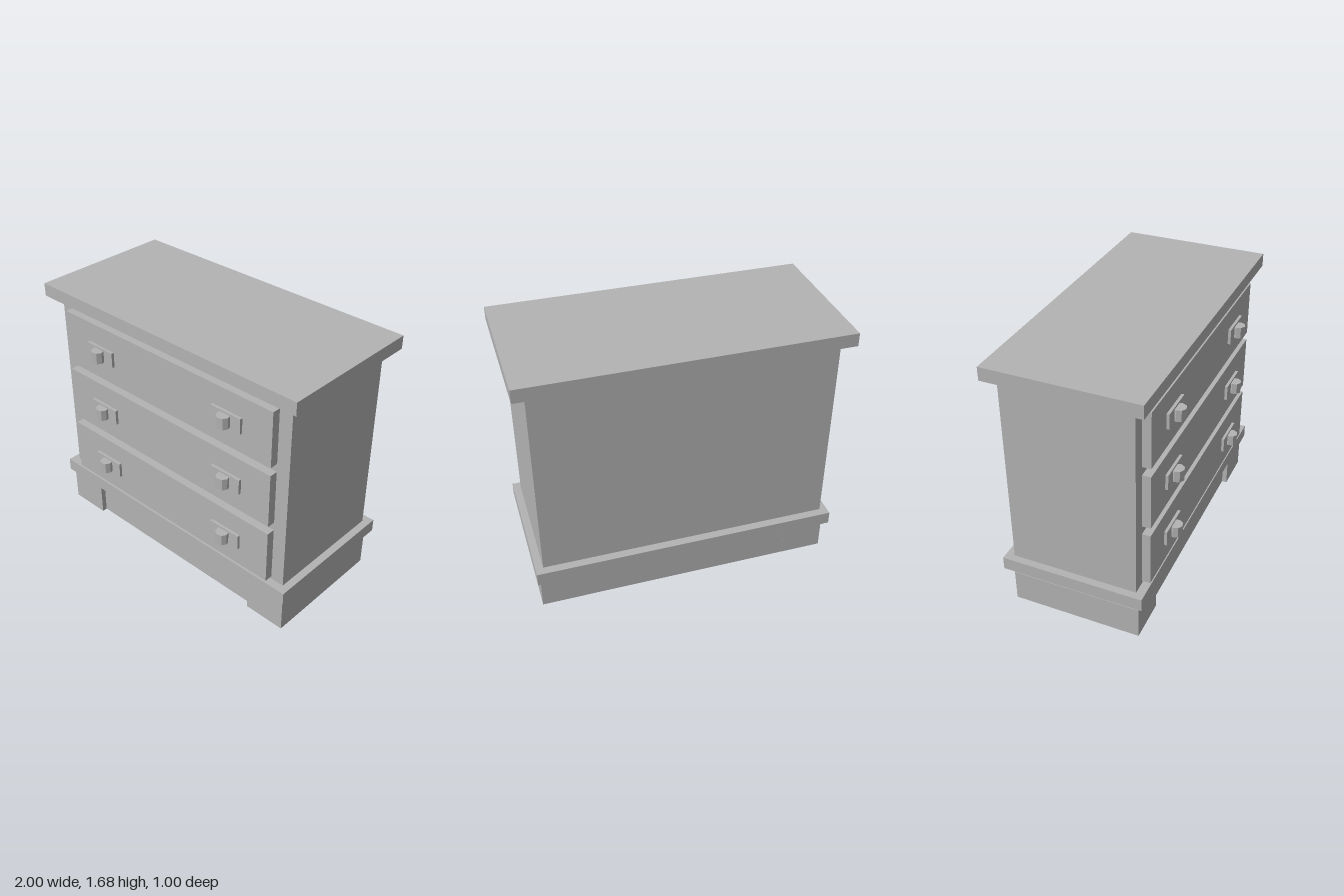
import * as THREE from 'three';

const grey = new THREE.MeshStandardMaterial({ color: 0xb3b3b3, side: THREE.DoubleSide, flatShading: true });
grey.name = 'plain grey';

// Box given by its limits on each axis
function box(name, [x0, x1], [y0, y1], [z0, z1]) {
  const geometry = new THREE.BoxGeometry(x1 - x0, y1 - y0, z1 - z0);
  geometry.translate((x0 + x1) / 2, (y0 + y1) / 2, (z0 + z1) / 2);
  const mesh = new THREE.Mesh(geometry, grey);
  mesh.name = name;
  return mesh;
}

// Thin shell: a box with some faces left out (0 +x, 1 -x, 2 top, 3 bottom, 4 front, 5 back)
function shell(name, x, y, z, omitted) {
  const mesh = box(name, x, y, z);
  const index = Array.from(mesh.geometry.index.array);
  mesh.geometry.setIndex(index.filter((_, i) => !omitted.includes(Math.floor(i / 6))));
  mesh.geometry.clearGroups();
  return mesh;
}

// Drawer front with two backplates and eight-sided pulls
function drawer(y) {
  const group = new THREE.Group();
  group.name = 'drawer';
  group.add(box('drawerFront', [-0.84, 0.834], [y - 0.18, y + 0.18], [0.36, 0.425]));
  for (const x of [-0.521, 0.514]) {
    group.add(box('handlePlate', [x - 0.11, x + 0.11], [y - 0.052, y + 0.048], [0.42, 0.443]));
    const pull = new THREE.Mesh(new THREE.CylinderGeometry(0.042, 0.042, 0.074, 8), grey);
    pull.name = 'handlePull';
    pull.rotation.y = -0.14;
    pull.position.set(x, y - 0.002, 0.458);
    group.add(pull);
  }
  return group;
}

export function createModel() {
  const model = new THREE.Group();
  model.name = 'chestOfDrawers';

  // Top board, carcass and base moulding
  model.add(
    box('topBoard', [-1, 1], [1.592, 1.676], [-0.498, 0.45]),
    box('carcass', [-0.926, 0.922], [0.323, 1.592], [-0.434, 0.372]),
    box('baseMoulding', [-0.973, 0.97], [0.238, 0.323], [-0.488, 0.425]),
  );

  // Hollow plinth, open above and below
  model.add(shell('plinth', [-0.915, 0.911], [0, 0.238], [-0.427, 0.365], [2, 3]));

  // Hollow feet running from front to back, open below
  model.add(
    shell('rightFoot', [-0.952, -0.681], [0, 0.21], [-0.428, 0.398], [3]),
    shell('leftFoot', [0.675, 0.947], [0, 0.21], [-0.428, 0.398], [3]),
  );

  // Three drawers
  for (const y of [0.521, 0.937, 1.352]) model.add(drawer(y));

  return model;
}
